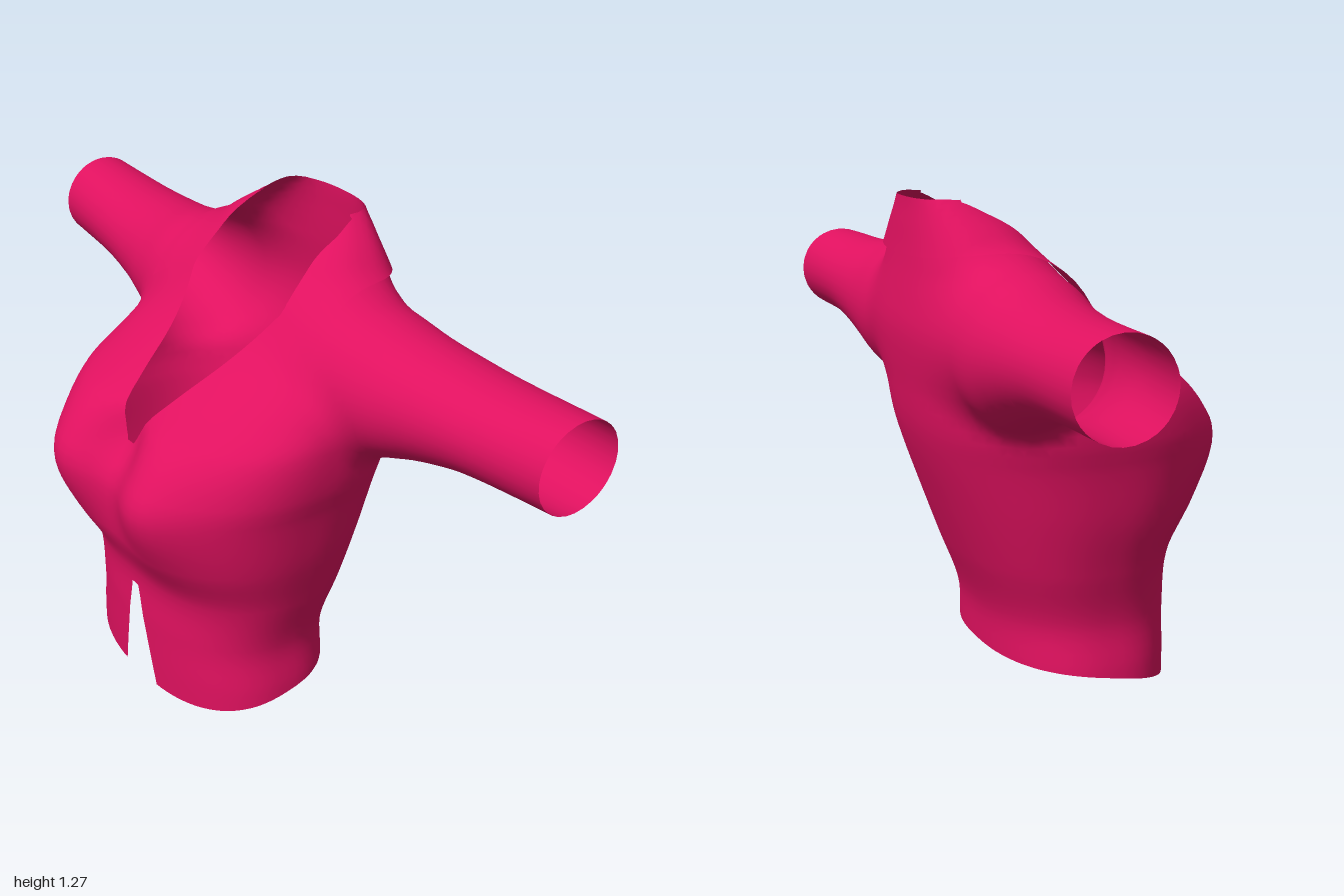
import * as THREE from 'three';
import { mergeVertices } from 'three/addons/utils/BufferGeometryUtils.js';

// Torso cross-sections: height, half width, back z, front z
const TORSO = [
  [0.0, 0.37, -0.18, 0.288], [0.08, 0.362, -0.182, 0.292], [0.2, 0.345, -0.192, 0.297], [0.35, 0.373, -0.247, 0.305],
  [0.48, 0.4, -0.295, 0.365], [0.62, 0.417, -0.345, 0.4], [0.7, 0.43, -0.367, 0.388], [0.8, 0.43, -0.382, 0.325],
  [0.87, 0.42, -0.39, 0.215], [0.95, 0.4, -0.395, 0.1], [1.03, 0.37, -0.388, 0.02], [1.1, 0.325, -0.378, -0.03],
  [1.15, 0.28, -0.372, -0.07], [1.2, 0.23, -0.367, -0.115], [1.25, 0.17, -0.362, -0.19], [1.3, 0.11, -0.36, -0.25],
];
// Sleeve cross-sections: distance from centre, bottom y, top y, back z, front z
const SLEEVE = [
  [0.3, 0.73, 1.13, -0.37, 0.0], [0.4, 0.735, 1.118, -0.37, -0.01], [0.5, 0.77, 1.098, -0.366, -0.035],
  [0.6, 0.803, 1.086, -0.363, -0.06], [0.75, 0.835, 1.077, -0.361, -0.085], [1.0, 0.845, 1.08, -0.361, -0.118],
];
const SPLIT = 0.46; // where the sleeve joins the body

// Smooth interpolation between table rows
function row(table, t) {
  const n = table.length - 1;
  if (t <= table[0][0]) return table[0];
  if (t >= table[n][0]) return table[n];
  let i = 0;
  while (t > table[i + 1][0]) i++;
  const a = table[i], b = table[i + 1], h = b[0] - a[0], u = (t - a[0]) / h;
  const p = table[Math.max(i - 1, 0)], q = table[Math.min(i + 2, n)];
  return a.map((v, k) => {
    const m0 = (b[k] - p[k]) / (b[0] - p[0]) * h, m1 = (q[k] - v) / (q[0] - a[0]) * h;
    return v * (1 + 2 * u) * (1 - u) ** 2 + m0 * u * (1 - u) ** 2 + b[k] * u * u * (3 - 2 * u) + m1 * u * u * (u - 1);
  });
}
const bell = (v, centre, width) => Math.exp(-(((v - centre) / width) ** 2));

// Signed shape of the garment: negative inside, zero on the cloth
function field([px, y, z]) {
  const x = Math.abs(px);
  const [, w, zb, zf] = row(TORSO, y);
  const chest = bell(y, 0.63, 0.15) * (0.04 * bell(x, 0.21, 0.11) - 0.03 * bell(x, 0, 0.09))
    - 0.06 * bell(y, 0.75, 0.09) * bell(x, 0, 0.1);
  const zc = (zb + zf) / 2, d = z > zc ? zf + chest - zc : zc - zb;
  const torso = (((x / w) ** 2.4 + (Math.abs(z - zc) / d) ** 2.4) ** (1 / 2.4) - 1) * Math.sqrt(w * d);
  const [, y0, y1, s0, s1] = row(SLEEVE, x);
  const ry = (y1 - y0) / 2, rz = (s1 - s0) / 2;
  const sleeve = (Math.hypot((y - y0 - ry) / ry, (z - s0 - rz) / rz) - 1) * Math.sqrt(ry * rz);
  const k = 0.05, blend = Math.max(k - Math.abs(torso - sleeve), 0) / k;
  return Math.min(torso, sleeve) - blend * blend * k / 4;
}
function gradient(p) {
  const e = 0.004;
  return [0, 1, 2].map((a) => {
    const q = [...p], r = [...p];
    q[a] += e; r[a] -= e;
    return (field(q) - field(r)) / (2 * e);
  });
}
// Pull a point onto the cloth, or a little above it
function project(p, offset = 0) {
  for (let i = 0; i < 4; i++) {
    const g = gradient(p), l = Math.max(g[0] ** 2 + g[1] ** 2 + g[2] ** 2, 0.1), f = field(p) - offset;
    p = p.map((v, a) => v - THREE.MathUtils.clamp(f * g[a] / l, -0.03, 0.03));
  }
  return p;
}

// Openings: cloth is kept where each value is positive
const neckHalf = (y) => (y < 1.08 ? (y - 0.71) * 0.514 : 0.19 - (y - 1.08) * 0.11);
const OPENINGS = [
  ([x]) => 1 - Math.abs(x),                                                        // cuffs
  ([, y, z]) => y - 0.083 + 0.083 * ((z + 0.18) / 0.47) ** 2,                      // hem
  ([x, y, z]) => (z > 0.05 ? Math.abs(x) - 0.075 * (1 - y / 0.37) : 1),            // front slit
  ([x, y, z]) => Math.max(Math.abs(x) - neckHalf(y), -0.27 - z),                   // V neck
  ([, y]) => 1.268 - y,                                                            // collar top
];
function clip(poly, keep) {
  const out = [];
  poly.forEach((a, i) => {
    const b = poly[(i + 1) % poly.length], ca = keep(a), cb = keep(b);
    if (ca >= 0) out.push(a);
    if ((ca >= 0) !== (cb >= 0)) out.push(a.map((v, k) => v + (b[k] - v) * ca / (ca - cb)));
  });
  return out;
}

// Quads wrapped around the shape on a regular grid
function clothQuads() {
  const h = 0.027, N = [80, 56, 36], min = [-40 * h, -0.1, -0.5];
  const id = (i, j, k) => (i * (N[1] + 1) + j) * (N[2] + 1) + k;
  const at = (i, j, k) => [min[0] + i * h, min[1] + j * h, min[2] + k * h];
  const val = [], cells = new Map(), quads = [];
  for (let i = 0; i <= N[0]; i++) for (let j = 0; j <= N[1]; j++) for (let k = 0; k <= N[2]; k++) val[id(i, j, k)] = field(at(i, j, k));
  const cell = (c) => {
    const key = id(...c);
    if (!cells.has(key)) {
      const sum = [0, 0, 0];
      let n = 0;
      for (let a = 0; a < 3; a++) for (let s = 0; s < 4; s++) {
        const p = [...c];
        p[(a + 1) % 3] += s & 1; p[(a + 2) % 3] += s >> 1;
        const q = [...p];
        q[a]++;
        const f = val[id(...p)], g = val[id(...q)];
        if ((f < 0) === (g < 0)) continue;
        const m = at(...p);
        m[a] += h * f / (f - g);
        m.forEach((v, t) => { sum[t] += v; });
        n++;
      }
      cells.set(key, project(sum.map((v) => v / n)));
    }
    return cells.get(key);
  };
  for (let i = 1; i < N[0]; i++) for (let j = 1; j < N[1]; j++) for (let k = 1; k < N[2]; k++) for (let a = 0; a < 3; a++) {
    const p = [i, j, k], q = [...p];
    q[a]++;
    const inside = val[id(...p)] < 0;
    if (inside === (val[id(...q)] < 0)) continue;
    const corner = (s, t) => { const c = [...p]; c[(a + 1) % 3] -= s; c[(a + 2) % 3] -= t; return cell(c); };
    const quad = [corner(0, 0), corner(1, 0), corner(1, 1), corner(0, 1)];
    quads.push(inside ? quad : quad.reverse());
  }
  return quads;
}

// Mesh from polygons, with smooth normals taken from the shape
function clothMesh(name, polys, material) {
  const pos = [], nor = [];
  for (const p of polys) for (let i = 1; i < p.length - 1; i++) for (const v of [p[0], p[i], p[i + 1]]) {
    pos.push(...v);
    nor.push(...new THREE.Vector3(...gradient(v)).normalize().toArray());
  }
  const geo = new THREE.BufferGeometry();
  geo.setAttribute('position', new THREE.Float32BufferAttribute(pos, 3));
  geo.setAttribute('normal', new THREE.Float32BufferAttribute(nor, 3));
  const mesh = new THREE.Mesh(mergeVertices(geo), material);
  mesh.name = name;
  return mesh;
}

// Turned-down collar leaf, from the fold to the outer edge, for one side
function collarQuads(side) {
  const curve = (pts) => new THREE.CatmullRomCurve3(pts.map((p) => new THREE.Vector3(...p)));
  const fold = curve([[0, 1.266, -0.36], [0.1, 1.264, -0.34], [0.165, 1.245, -0.24], [0.182, 1.19, -0.14], [0.19, 1.1, -0.04]]);
  const edge = curve([[0, 1.13, -0.39], [0.16, 1.135, -0.375], [0.28, 1.14, -0.28], [0.315, 1.12, -0.14], [0.34, 1.0, 0.01]]);
  const U = 24, V = 8, grid = [], quads = [];
  for (let i = 0; i <= U; i++) {
    const a = fold.getPoint(i / U), b = edge.getPoint(i / U);
    grid.push(Array.from({ length: V + 1 }, (_, j) => {
      const p = project(a.clone().lerp(b, j / V).toArray(), 0.003 + 0.011 * j / V);
      return [p[0] * side, Math.min(p[1], 1.27), p[2]];
    }));
  }
  for (let i = 0; i < U; i++) for (let j = 0; j < V; j++) {
    const q = [grid[i][j], grid[i + 1][j], grid[i + 1][j + 1], grid[i][j + 1]];
    quads.push(side > 0 ? q.reverse() : q);
  }
  // Face every quad outward
  return quads.map((q) => {
    const [a, b, c] = q.map((p) => new THREE.Vector3(...p));
    const n = b.sub(a).cross(c.sub(a));
    return n.dot(new THREE.Vector3(...gradient(q[0]))) < 0 ? q.reverse() : q;
  });
}

export function createModel() {
  const cloth = new THREE.MeshStandardMaterial({ color: 0xe0115f, side: THREE.DoubleSide });
  cloth.name = 'crimson cloth';
  const shirt = new THREE.Group();
  shirt.name = 'shirt';
  const polys = clothQuads().flatMap(([a, b, c, d]) => [[a, b, c], [a, c, d]])
    .map((p) => OPENINGS.reduce(clip, p)).filter((p) => p.length > 2);
  const part = (name, keep) => shirt.add(clothMesh(name, polys.map((p) => clip(p, keep)).filter((p) => p.length > 2), cloth));
  part('body', ([x]) => SPLIT - Math.abs(x));
  part('leftSleeve', ([x]) => x - SPLIT);
  part('rightSleeve', ([x]) => -x - SPLIT);
  shirt.add(clothMesh('collar', [...collarQuads(1), ...collarQuads(-1)], cloth));
  return shirt;
}
